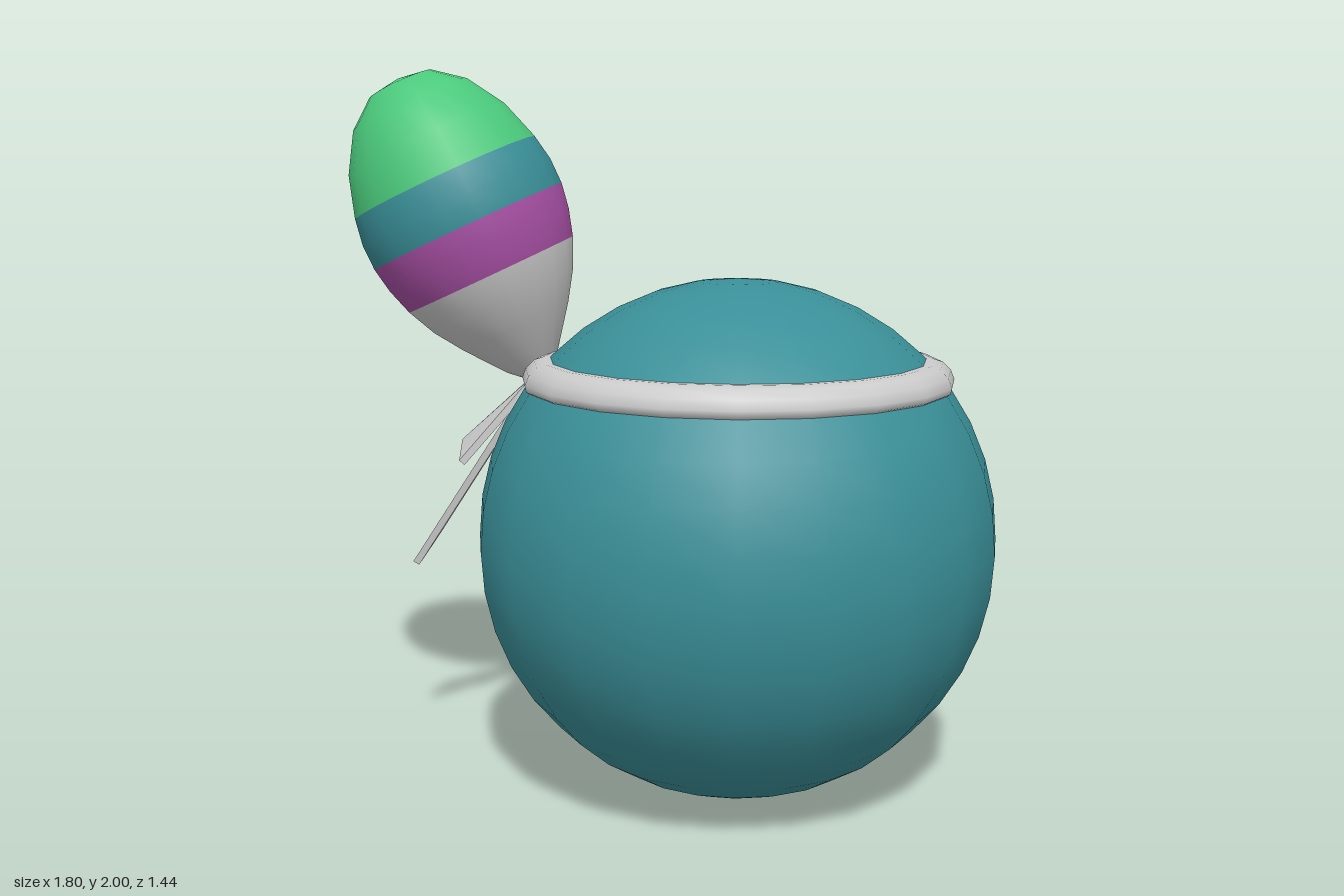
import * as THREE from 'three';

const paint = (color) => new THREE.MeshStandardMaterial({ color });
const teal = paint(0x3a8f98), green = paint(0x4bc97c), purple = paint(0xa850a5), grey = paint(0xcccccc);
const SIDES = 20;
const CENTRE_X = 0.19;

function addMesh(parent, name, geometry, material) {
  const mesh = new THREE.Mesh(geometry, material);
  mesh.name = name;
  parent.add(mesh);
  return mesh;
}

// Turned shape, optionally keeping only profile segments from..to (normals stay smooth across cuts)
function turned(profile, from = 0, to = profile.length - 1) {
  const geometry = new THREE.LatheGeometry(profile.map(([r, y]) => new THREE.Vector2(r, y)), SIDES);
  const kept = [];
  const index = geometry.index.array;
  for (let i = 0; i < index.length; i += 6) {
    const row = index[i] % profile.length;
    if (row >= from && row < to) kept.push(...index.slice(i, i + 6));
  }
  geometry.setIndex(kept);
  return geometry;
}

// Thin flat strip between two start corners and two end corners
function strip(startA, startB, endA, endB, thickness) {
  const [a, b, c, d] = [startA, startB, endA, endB].map((p) => new THREE.Vector3(...p));
  const across = b.clone().sub(a);
  const along = c.clone().sub(a);
  const normal = across.cross(along).normalize().multiplyScalar(thickness);
  const geometry = new THREE.BoxGeometry(1, 1, 1);
  const pos = geometry.attributes.position;
  for (let i = 0; i < pos.count; i++) {
    const u = pos.getX(i) + 0.5, v = pos.getY(i) + 0.5;
    const near = a.clone().lerp(b, u), far = c.clone().lerp(d, u);
    const p = near.lerp(far, v).addScaledVector(normal, pos.getZ(i));
    pos.setXYZ(i, p.x, p.y, p.z);
  }
  geometry.computeVertexNormals();
  return geometry;
}

export function createModel() {
  const model = new THREE.Group();
  model.name = 'ballWithHeadband';

  // Round body
  const body = addMesh(model, 'body', new THREE.SphereGeometry(0.718, SIDES, SIDES), teal);
  body.position.set(CENTRE_X, 0.72, 0);

  // Headband with a rounded top and flat underside
  const band = addMesh(model, 'headband', turned([
    [0.55, 1.14], [0.575, 1.14], [0.588, 1.148], [0.592, 1.165],
    [0.582, 1.19], [0.56, 1.212], [0.535, 1.22], [0.49, 1.22],
  ]), grey);
  band.position.x = CENTRE_X;

  // Striped egg-shaped bobble leaning outward from the band
  const bobble = new THREE.Group();
  bobble.name = 'bobble';
  bobble.position.set(-0.37, 1.145, -0.15);
  bobble.rotation.z = 0.434;
  model.add(bobble);
  const egg = [
    [0, 0], [0.035, 0.008], [0.08, 0.05], [0.165, 0.16], [0.218, 0.24], [0.255, 0.32],
    [0.278, 0.395], [0.29, 0.467], [0.29, 0.54], [0.277, 0.615],
    [0.24, 0.73], [0.175, 0.835], [0.095, 0.898], [0, 0.915],
  ];
  [['bobbleBase', 0, 5, grey], ['lowerStripe', 5, 7, purple],
    ['upperStripe', 7, 9, teal], ['bobbleTop', 9, 13, green]]
    .forEach(([name, from, to, material]) => addMesh(bobble, name, turned(egg, from, to), material));

  // Two loose band tails with slanted ends
  addMesh(model, 'longTail', strip(
    [-0.385, 1.14, -0.13], [-0.385, 1.14, -0.2],
    [-0.755, 0.575, -0.23], [-0.705, 0.65, -0.31], 0.02), grey);
  addMesh(model, 'shortTail', strip(
    [-0.385, 1.14, -0.1], [-0.385, 1.14, -0.16],
    [-0.59, 0.905, -0.09], [-0.59, 0.955, -0.155], 0.02), grey);

  return model;
}
